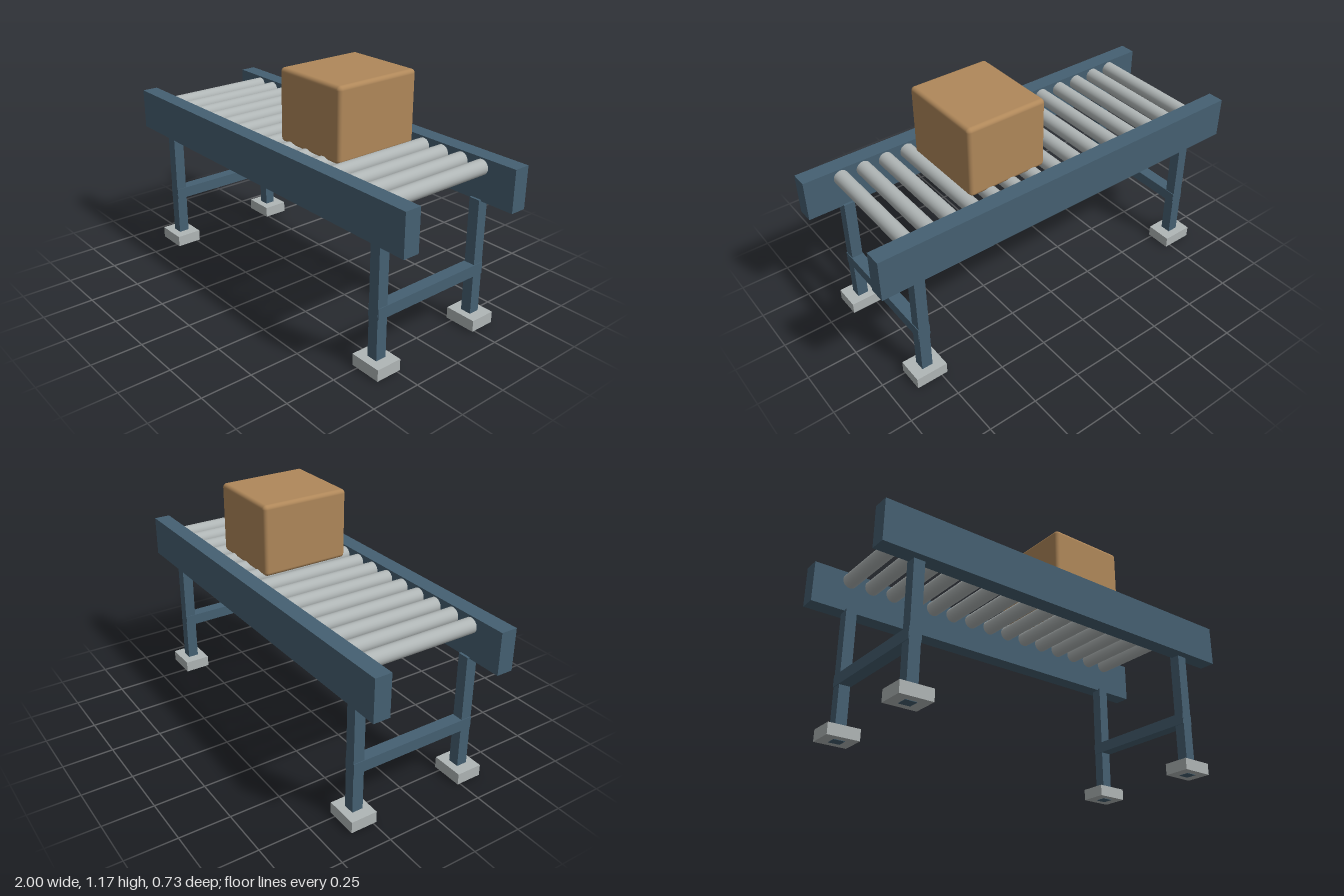
import * as THREE from 'three';
import { RoundedBoxGeometry } from 'three/addons/geometries/RoundedBoxGeometry.js';

const steel = new THREE.MeshStandardMaterial({ color: 0x456072 });
const metal = new THREE.MeshStandardMaterial({ color: 0xb0b6b6 });
const cardboard = new THREE.MeshStandardMaterial({ color: 0xb0885a });

export function createModel() {
  const model = new THREE.Group();
  model.name = 'rollerConveyor';

  const add = (name, geometry, material, x, y, z) => {
    const mesh = new THREE.Mesh(geometry, material);
    mesh.name = name;
    mesh.position.set(x, y, z);
    model.add(mesh);
    return mesh;
  };

  // Side rails
  const rail = new THREE.BoxGeometry(2, 0.205, 0.082);
  for (const s of [-1, 1]) add('sideRail', rail, steel, 0, 0.7355, s * 0.326);

  // Rollers spanning the rails
  const roller = new THREE.CylinderGeometry(0.037, 0.037, 0.58, 24).rotateX(Math.PI / 2);
  const count = 15, spacing = 0.1165;
  for (let i = 0; i < count; i++) {
    add('roller', roller, metal, (i - (count - 1) / 2) * spacing, 0.794, 0);
  }

  // Two leg frames: posts, feet and a cross brace
  const post = new THREE.BoxGeometry(0.055, 0.64, 0.055);
  const foot = new THREE.BoxGeometry(0.16, 0.057, 0.132);
  const brace = new THREE.BoxGeometry(0.062, 0.057, 0.654);
  for (const x of [-0.8, 0.8]) {
    for (const s of [-1, 1]) {
      add('leg', post, steel, x, 0.32, s * 0.3);
      add('foot', foot, metal, x, 0.0305, s * 0.301);
    }
    add('crossBrace', brace, steel, x, 0.288, 0);
  }

  // Carton riding on the rollers
  add('carton', new RoundedBoxGeometry(0.412, 0.354, 0.456, 4, 0.02), cardboard, 0.248, 0.991, 0);

  return model;
}
